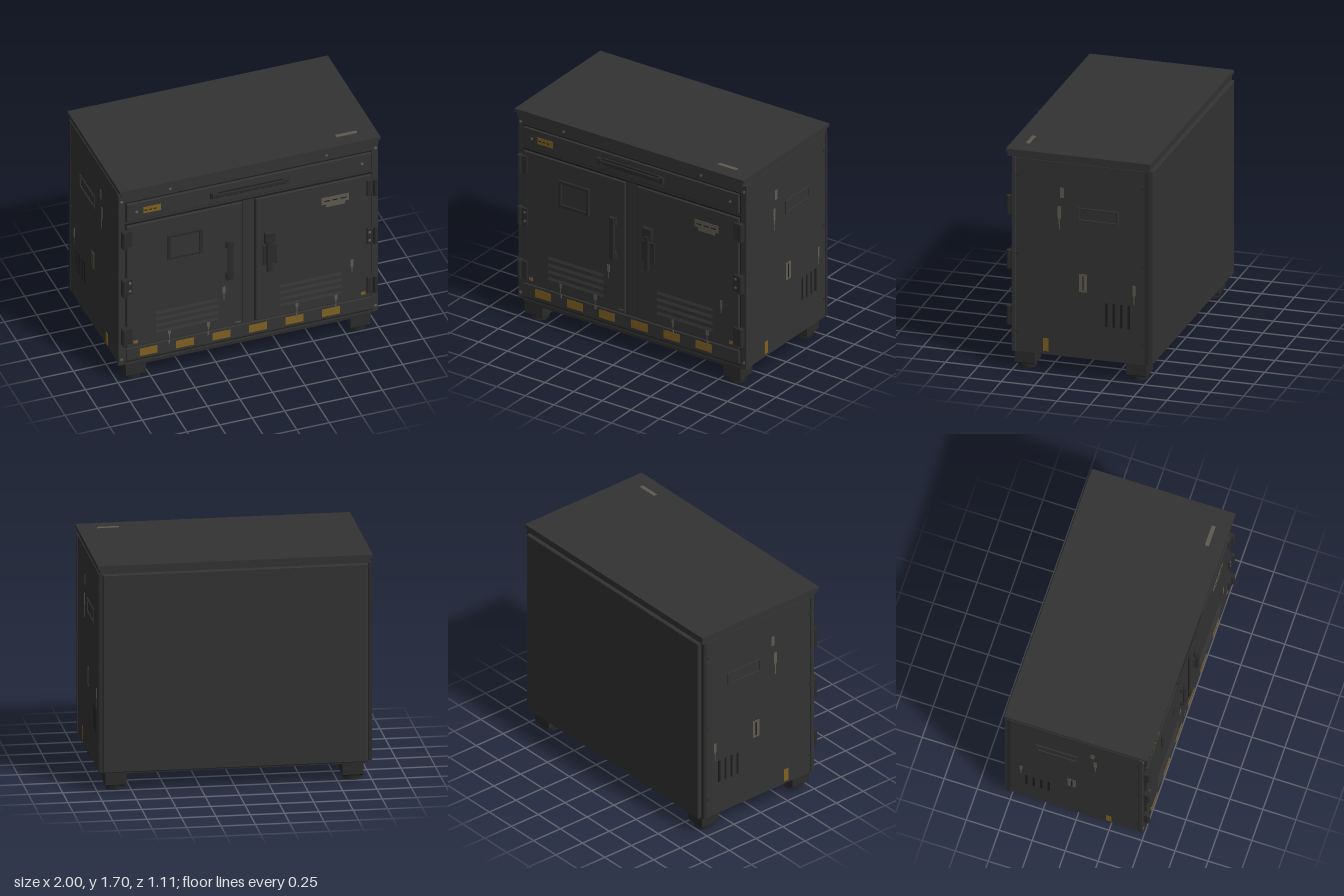
import * as THREE from 'three';

const mat = (name, color) => {
  const m = new THREE.MeshStandardMaterial({ color });
  m.name = name;
  return m;
};

export function createModel() {
  const root = new THREE.Group();
  root.name = 'cabinet';
  const body = mat('charcoal paint', 0x333333);
  const dark = mat('dark seam', 0x1c1c1c);
  const trim = mat('hardware grey', 0x2b2b2b);
  const amber = mat('amber marking', 0x80601f);
  const beige = mat('worn beige', 0x5f5a50);
  const steel = mat('screw steel', 0x606060);

  const add = (name, geo, m, x, y, z, parent = root) => {
    const mesh = new THREE.Mesh(geo, m);
    mesh.name = name;
    mesh.position.set(x, y, z);
    parent.add(mesh);
    return mesh;
  };
  // box given by its min and max on each axis
  const box = (name, m, x0, x1, y0, y1, z0, z1, parent = root) =>
    add(name, new THREE.BoxGeometry(x1 - x0, y1 - y0, z1 - z0), m,
      (x0 + x1) / 2, (y0 + y1) / 2, (z0 + z1) / 2, parent);
  // panel facing +z with chamfered front edges and an optional rectangular opening
  const panel = (name, m, x0, x1, y0, y1, z0, z1, c, rim = 0, parent = root) => {
    const rect = (T, d) => {
      const s = new T();
      s.moveTo(x0 + d, y0 + d); s.lineTo(x1 - d, y0 + d);
      s.lineTo(x1 - d, y1 - d); s.lineTo(x0 + d, y1 - d); s.closePath();
      return s;
    };
    const shape = rect(THREE.Shape, c);
    if (rim) shape.holes.push(rect(THREE.Path, rim));
    const geo = new THREE.ExtrudeGeometry(shape, {
      depth: z1 - z0 - 2 * c, bevelThickness: c, bevelSize: c, bevelSegments: 1, curveSegments: 1,
    });
    return add(name, geo, m, 0, 0, z0 + c, parent);
  };
  // jagged vertical paint chip facing +z
  const chip = (x, y0, y1, w, z, parent = root) => {
    const h = y1 - y0, s = new THREE.Shape();
    [[-.5, 1], [.5, 1], [.5, .5], [.2, .45], [.15, 0], [-.1, 0], [-.2, .4], [-.5, .55]]
      .forEach(([u, v], i) => s[i ? 'lineTo' : 'moveTo'](x + u * w, y0 + v * h));
    add('paintChip', new THREE.ExtrudeGeometry(s, { depth: 0.003, bevelEnabled: false }), beige, 0, 0, z, parent);
  };
  const screw = (x, y, z, m = steel, parent = root) => {
    add('screw', new THREE.CylinderGeometry(0.011, 0.011, 0.006, 8), m, x, y, z, parent).rotation.x = Math.PI / 2;
  };

  // carcass, base and worktop
  box('carcass', body, -0.985, 0.985, 0.145, 1.645, -0.515, 0.485);
  panel('frontFrame', body, -0.998, 0.998, 0.145, 1.64, 0.47, 0.503, 0.005);
  box('basePlate', trim, -0.945, 0.945, 0.128, 0.15, -0.51, 0.505);
  box('worktopUnderside', body, -0.985, 0.985, 1.64, 1.678, -0.535, 0.535);
  box('worktop', body, -1, 1, 1.676, 1.7, -0.545, 0.545);
  panel('backPanel', body, -0.965, 0.965, 0.15, 1.635, -0.02, 0.02, 0.006)
    .geometry.rotateY(Math.PI).translate(0, 0, -1.0325);
  root.getObjectByName('backPanel').position.z = 0.508;
  for (const s of [-1, 1]) box('backPost', trim, s * 0.983 - 0.012, s * 0.983 + 0.012, 0.15, 1.635, -0.53, -0.5);
  box('backPlate', beige, -0.7, -0.34, 0.36, 0.47, -0.5475, -0.54);
  box('worktopLabel', beige, 0.7, 0.86, 0.41, 0.44, 0, 0.003).rotation.x = -Math.PI / 2;
  root.getObjectByName('worktopLabel').position.set(0.78, 1.701, 0.425);

  // feet
  for (const x of [-0.863, 0.863]) for (const z of [-0.422, 0.422]) {
    const foot = new THREE.Group();
    foot.name = 'foot';
    foot.position.set(x, 0, z);
    root.add(foot);
    panel('footBlock', trim, -0.077, 0.077, -0.077, 0.077, 0, 0.11, 0.012, 0, foot).rotation.x = Math.PI / 2;
    foot.children[0].position.set(0, 0.128, 0);
    add('footPad', new THREE.CylinderGeometry(0.074, 0.068, 0.034, 8), trim, 0, 0.017, 0, foot).rotation.y = Math.PI / 8;
  }

  // drawer with recessed bar handle
  box('drawerSeam', dark, -0.948, 0.948, 1.398, 1.568, 0.5, 0.505);
  panel('drawerFront', body, -0.94, 0.94, 1.406, 1.56, 0.5, 0.521, 0.005);
  box('drawerLowerSeam', dark, -0.95, 0.95, 1.372, 1.38, 0.5, 0.505);
  panel('drawerHandleRim', trim, -0.3, 0.3, 1.456, 1.512, 0.515, 0.528, 0.003, 0.01);
  box('drawerHandleRecess', dark, -0.29, 0.29, 1.465, 1.503, 0.52, 0.523);
  panel('drawerHandleBar', trim, -0.26, 0.255, 1.47, 1.5, 0.53, 0.546, 0.005);
  for (const s of [-1, 1]) {
    panel('drawerHandlePost', trim, s * 0.27 - 0.022, s * 0.27 + 0.022, 1.462, 1.507, 0.52, 0.542, 0.005);
    screw(s * 0.865, 1.483, 0.522);
    screw(s * 0.6, 1.61, 0.504);
    for (const y of [0.2, 1.583]) screw(s * 0.975, y, 0.504);
  }
  box('drawerLabel', amber, -0.815, -0.68, 1.457, 1.51, 0.52, 0.524);
  for (let i = 0; i < 3; i++) box('labelDash', dark, -0.806 + i * 0.035, -0.784 + i * 0.035, 1.48, 1.487, 0.523, 0.526);

  // doors with louvres and hinges
  for (const s of [-1, 1]) {
    const a = s < 0 ? -0.94 : 0.05, b = s < 0 ? -0.05 : 0.94;
    box('doorSeam', dark, a - 0.008, b + 0.008, 0.297, 1.373, 0.5, 0.505);
    panel('door', body, a, b, 0.303, 1.367, 0.5, 0.521, 0.005);
    for (let i = 0; i < 4; i++) {
      const y = 0.385 + i * 0.055;
      const p = new THREE.Shape([new THREE.Vector2(0, 0), new THREE.Vector2(0.009, 0), new THREE.Vector2(0, 0.024)]);
      const g = new THREE.ExtrudeGeometry(p, { depth: 0.48, bevelEnabled: false }).rotateY(-Math.PI / 2);
      add('louvre', g, body, s < 0 ? -0.24 : 0.71, y, 0.52);
    }
    for (const y of [1.26, 0.84, 0.41]) {
      panel('hingeLeaf', trim, s * 0.94 - 0.04, s * 0.94 + 0.04, y - 0.07, y + 0.07, 0.5, 0.532, 0.006);
      add('hingeBarrel', new THREE.CylinderGeometry(0.018, 0.018, 0.14, 8), trim, s * 0.965, y, 0.532);
      for (const d of [-0.035, 0.035]) screw(s * 0.92, y + d, 0.532, y === 0.84 ? steel : trim);
    }
  }
  panel('displayRim', trim, -0.628, -0.36, 1.005, 1.222, 0.515, 0.533, 0.005, 0.022);
  box('displayPlate', body, -0.612, -0.376, 1.02, 1.207, 0.515, 0.525);

  // door handles
  panel('leftHandleBar', trim, -0.175, -0.13, 0.725, 1.065, 0.532, 0.55, 0.006);
  for (const y of [0.76, 1.03]) panel('leftHandlePost', trim, -0.183, -0.122, y - 0.03, y + 0.03, 0.515, 0.54, 0.005);
  panel('latchPlate', trim, 0.1, 0.21, 0.78, 0.95, 0.515, 0.53, 0.005);
  panel('latchHead', trim, 0.112, 0.195, 0.97, 1.065, 0.515, 0.545, 0.008);
  panel('latchLever', trim, 0.128, 0.17, 0.725, 1.0, 0.525, 0.55, 0.006);

  // door label and kick rail markings
  box('doorLabel', beige, 0.555, 0.765, 1.193, 1.253, 0.52, 0.524);
  box('doorLabelTail', beige, 0.588, 0.732, 1.168, 1.193, 0.52, 0.524);
  for (let i = 0; i < 3; i++) box('labelDash', dark, 0.575 + i * 0.063, 0.618 + i * 0.063, 1.218, 1.226, 0.523, 0.526);
  panel('kickRail', body, -0.94, 0.94, 0.185, 0.29, 0.5, 0.515, 0.004);
  box('kickSeam', dark, -0.95, 0.95, 0.168, 0.175, 0.5, 0.505);
  for (let i = 0; i < 6; i++) box('hazardMark', amber, -0.84 + i * 0.28, -0.702 + i * 0.28, 0.206, 0.27, 0.513, 0.518);
  box('cornerMark', amber, -0.89, -0.857, 0.33, 0.356, 0.52, 0.523);
  box('cornerMark', amber, 0.857, 0.89, 0.33, 0.356, 0.52, 0.523);
  box('edgeChip', beige, -0.108, -0.065, 0.323, 0.331, 0.52, 0.523);
  for (const [x, y0, y1] of [[-0.195, 0.55, 0.66], [0.788, 0.55, 0.66], [-0.613, 0.305, 0.4],
    [-0.313, 0.305, 0.38], [0.365, 0.305, 0.4], [0.665, 0.305, 0.38]]) {
    chip(x, y0, y1, 0.022, 0.521);
    if (y0 < 0.4) box('paintChip', beige, x - 0.006, x + 0.006, 0.262, 0.29, 0.514, 0.518);
  }

  // side panels: built facing +z with local x = -z of the model, then turned and mirrored
  for (const s of [-1, 1]) {
    const side = new THREE.Group();
    side.name = s > 0 ? 'leftSide' : 'rightSide';
    side.rotation.y = s * Math.PI / 2;
    side.position.x = s * 0.985;
    root.add(side);
    const sb = (name, m, u0, u1, y0, y1, z0, z1) =>
      s > 0 ? box(name, m, u0, u1, y0, y1, z0, z1, side) : box(name, m, -u1, -u0, y0, y1, z0, z1, side);
    sb('sidePanel', body, -0.49, 0.505, 0.155, 1.635, -0.01, 0.006);
    for (const u of [-0.465, 0.485]) for (const y of [0.3, 0.9, 1.5]) screw(s * u, y, 0.007, trim, side);
    for (let i = 0; i < 4; i++) sb('ventSlit', dark, 0.2 + i * 0.057, 0.219 + i * 0.057, 0.41, 0.59, 0.005, 0.0075);
    panel('gripRim', body, s * 0.15 - 0.155, s * 0.15 + 0.155, 1.2, 1.305, 0.004, 0.014, 0.002, 0.012, side);
    sb('sideLabel', beige, 0.005, 0.067, 0.655, 0.795, 0.005, 0.008);
    sb('sideLabelSlot', dark, 0.031, 0.041, 0.67, 0.78, 0.007, 0.0095);
    sb('sideMark', amber, -0.265, -0.225, 0.17, 0.27, 0.005, 0.008);
    sb('sideChip', beige, -0.137, -0.107, 1.365, 1.443, 0.005, 0.008);
    chip(s * -0.143, 1.12, 1.3, 0.026, 0.006, side);
    chip(s * 0.42, 0.6, 0.75, 0.02, 0.006, side);
  }
  return root;
}
